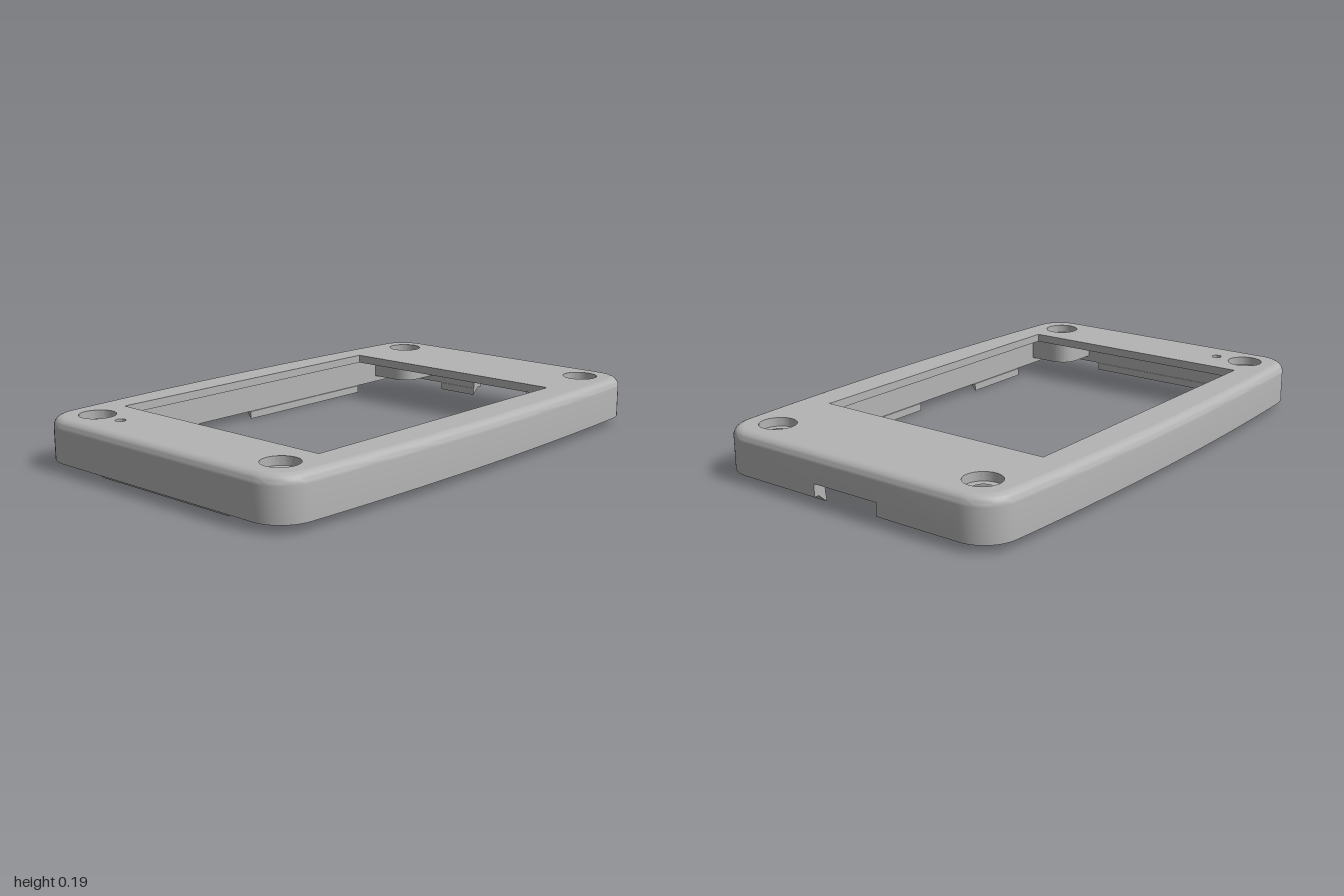
import * as THREE from 'three';
import { toCreasedNormals } from 'three/addons/utils/BufferGeometryUtils.js';

const TOP = 0.187, PLATE_BOTTOM = 0.155, RIM = 0.03, FILLET = 0.035;
const WALL = 0.05, INNER_Z = 0.56, NOTCH_Z = 0.14, NOTCH_TOP = 0.078;
const SCREW = [0.855, 0.46];

// Outline of the case with bowed front and back: position, normal, rim height
function outlinePoints() {
  const quarter = [];
  for (let i = 0; i <= 10; i++) {
    const a = (i / 10) * THREE.MathUtils.degToRad(86.4);
    quarter.push([0.87 + 0.13 * Math.cos(a), 0.48 + 0.13 * Math.sin(a), Math.cos(a), Math.sin(a)]);
  }
  for (let i = 9; i >= 0; i--) {
    const x = 0.088 * i, slope = 0.0723 * x, n = Math.hypot(slope, 1);
    quarter.push([x, 0.638 - 0.0362 * x * x, slope / n, 1 / n]);
  }
  const flip = (list, sx, sz) => list.map(([x, z, nx, nz]) => [x * sx, z * sz, nx * sx, nz * sz]);
  const back = quarter.slice(0, -1).reverse();
  const all = [...quarter, ...flip(back, -1, 1), ...flip(quarter, -1, -1), ...flip(back, 1, -1)];
  const points = all.map(([x, z, nx, nz]) => ({ x, z, nx, nz, rim: RIM }));
  // connector notch in the +x wall
  const side = (z, rim) => ({ x: 1, z, nx: 1, nz: 0, rim });
  points.push(side(-NOTCH_Z, RIM), side(-NOTCH_Z, NOTCH_TOP), side(NOTCH_Z, NOTCH_TOP), side(NOTCH_Z, RIM));
  return points;
}

const inset = (p, d) => [p.x - p.nx * d, p.z - p.nz * d];

function wallGeometry(points) {
  const inner = (p) => {
    const [x, z] = inset(p, WALL);
    return [x, THREE.MathUtils.clamp(z, -INNER_Z, INNER_Z)];
  };
  const at = ([x, z], y) => new THREE.Vector3(x, y, z);
  const rings = [
    (p) => at(inner(p), PLATE_BOTTOM),
    (p) => at(inner(p), p.rim),
    (p) => at(inset(p, 0), p.rim),
  ];
  for (let i = 0; i <= 6; i++) {
    const a = (i / 6) * Math.PI / 2;
    rings.push((p) => at(inset(p, FILLET * (1 - Math.cos(a))), TOP - FILLET * (1 - Math.sin(a))));
  }
  const pos = [];
  const tri = (...v) => {
    if (new THREE.Triangle(...v).getArea() > 1e-9) v.forEach((q) => pos.push(q.x, q.y, q.z));
  };
  points.forEach((p, i) => {
    const next = points[(i + 1) % points.length];
    for (let k = 0; k < rings.length - 1; k++) {
      const a = rings[k](p), b = rings[k](next), c = rings[k + 1](next), d = rings[k + 1](p);
      tri(a, d, c);
      tri(a, c, b);
    }
  });
  const g = new THREE.BufferGeometry();
  g.setAttribute('position', new THREE.Float32BufferAttribute(pos, 3));
  return toCreasedNormals(g, 0.6);
}

// Extrudes an x/z shape downwards from the height top
function slab(shape, top, depth) {
  const g = new THREE.ExtrudeGeometry(shape, { depth, bevelEnabled: false, curveSegments: 24 });
  g.rotateX(Math.PI / 2).translate(0, top, 0);
  return toCreasedNormals(g, 0.6);
}

const circle = (x, z, r) => new THREE.Path().absarc(x, z, r, 0, Math.PI * 2, true);

// Wedge-shaped snap lip; runs along x, outer edge facing +z
function lipGeometry(from, to, outer, inner) {
  const s = new THREE.Shape([[-outer, RIM], [-inner, 0], [-inner, RIM]].map((c) => new THREE.Vector2(...c)));
  const g = new THREE.ExtrudeGeometry(s, { depth: to - from, bevelEnabled: false });
  return g.translate(0, 0, from).rotateY(Math.PI / 2);
}

export function createModel() {
  const model = new THREE.Group();
  model.name = 'bezel';
  const grey = new THREE.MeshStandardMaterial({ color: 0xb4b4b4 });
  grey.name = 'grey plastic';
  const add = (name, geometry) => {
    const mesh = new THREE.Mesh(geometry, grey);
    mesh.name = name;
    model.add(mesh);
    return mesh;
  };

  // Side wall with rounded top edge
  const points = outlinePoints();
  add('sideWall', wallGeometry(points));

  // Face plate with window, screw recesses and a small indicator hole
  const plate = new THREE.Shape(points.filter((p, i) => i < points.length - 4)
    .map((p) => new THREE.Vector2(...inset(p, FILLET))));
  plate.holes.push(new THREE.Path([[-0.71, -0.49], [-0.71, 0.485], [0.58, 0.485], [0.58, -0.49]]
    .map((c) => new THREE.Vector2(...c))));
  plate.holes.push(circle(-0.855, -0.33, 0.019));
  for (const sx of [-1, 1]) for (const sz of [-1, 1]) {
    plate.holes.push(circle(sx * SCREW[0], sz * SCREW[1], 0.067));
  }
  add('facePlate', slab(plate, TOP, TOP - PLATE_BOTTOM));

  // Corner screw posts, rounded towards the middle
  for (const sx of [-1, 1]) for (const sz of [-1, 1]) {
    const [x, z] = [sx * SCREW[0], sz * SCREW[1]];
    const post = new THREE.Shape();
    const px = (d) => x + sx * d, pz = (d) => z + sz * d;
    post.moveTo(px(0.1), pz(0.105));
    post.lineTo(px(-0.085), pz(0.105));
    post.lineTo(px(-0.085), pz(0));
    post.quadraticCurveTo(px(-0.085), pz(-0.085), px(0), pz(-0.085));
    post.lineTo(px(0.1), pz(-0.085));
    post.closePath();
    post.holes.push(circle(x, z, 0.039));
    add('screwPost', slab(post, PLATE_BOTTOM, PLATE_BOTTOM - 0.055));
  }

  // Snap lips under the rim
  add('frontLip', lipGeometry(-0.655, -0.35, 0.58, 0.555));
  add('frontLip', lipGeometry(0, 0.645, 0.58, 0.555));
  add('backLip', lipGeometry(-0.645, 0.015, 0.58, 0.555)).rotation.y = Math.PI;
  add('backLip', lipGeometry(0.29, 0.655, 0.58, 0.555)).rotation.y = Math.PI;
  add('leftLip', lipGeometry(-0.32, -NOTCH_Z, 0.98, 0.947)).rotation.y = Math.PI / 2;
  add('leftLip', lipGeometry(NOTCH_Z, 0.32, 0.98, 0.947)).rotation.y = Math.PI / 2;
  add('rightLip', lipGeometry(-0.32, 0.32, 0.98, 0.947)).rotation.y = -Math.PI / 2;
  return model;
}
